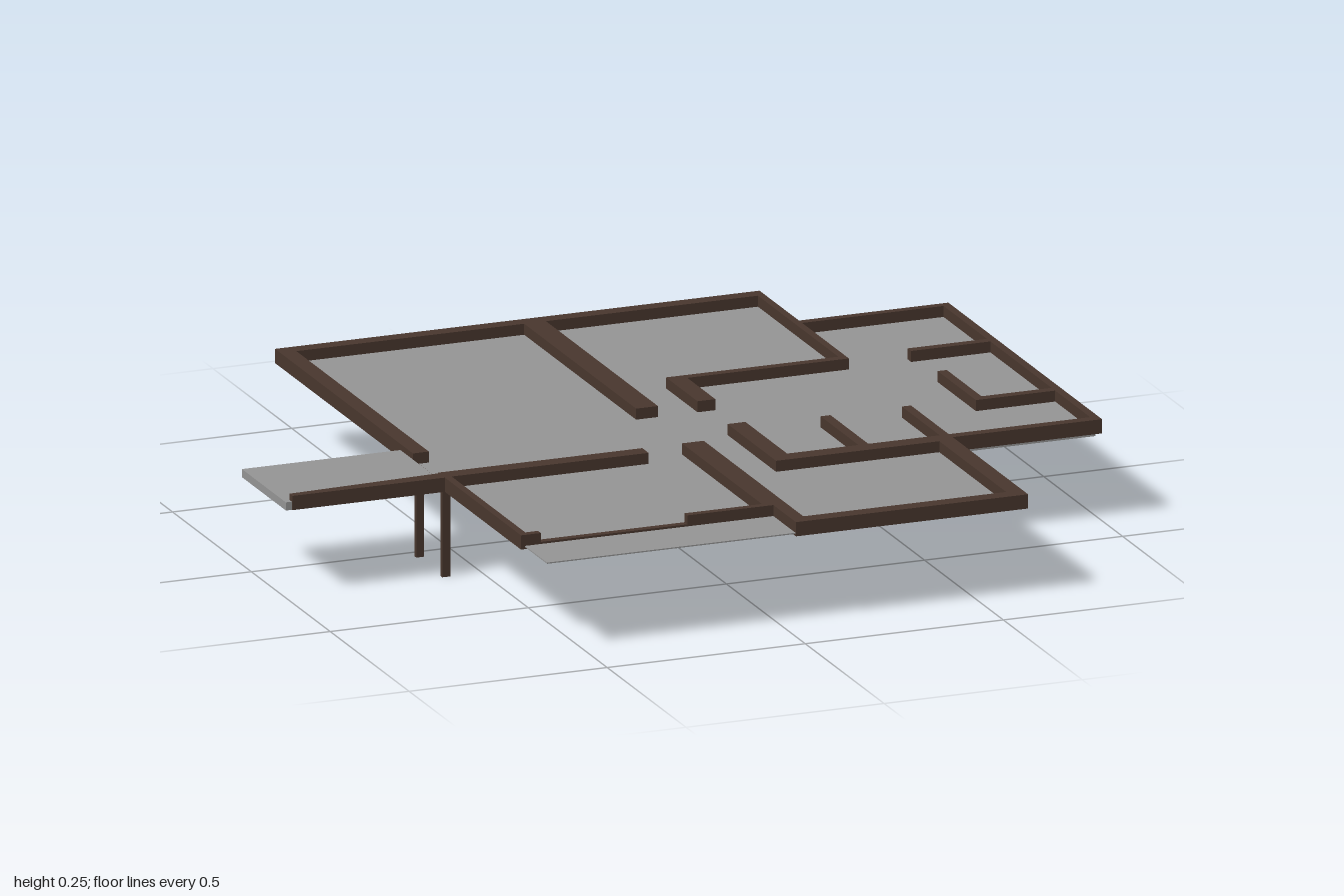
import * as THREE from 'three';

const WALL_Y0 = 0.215, WALL_Y1 = 0.25, FLOOR = 0.223;

export function createModel() {
  const model = new THREE.Group();
  const brown = new THREE.MeshStandardMaterial({ color: 0x49372e });
  brown.name = 'dark brown wall';
  const grey = new THREE.MeshStandardMaterial({ color: 0x969696 });
  grey.name = 'grey floor';

  // Box given by its limits on each axis
  function block(name, mat, x0, x1, z0, z1, y0, y1, parent = model) {
    const mesh = new THREE.Mesh(new THREE.BoxGeometry(x1 - x0, y1 - y0, z1 - z0), mat);
    mesh.position.set((x0 + x1) / 2, (y0 + y1) / 2, (z0 + z1) / 2);
    mesh.name = name;
    parent.add(mesh);
    return mesh;
  }

  // Walls: name, x from/to, z from/to
  const walls = new THREE.Group();
  walls.name = 'walls';
  model.add(walls);
  [
    ['backWall', -0.6, 0.623, -0.855, -0.82],
    ['backLeftWall', -0.6, -0.56, -0.82, 0.02],
    ['backMiddleWall', 0.015, 0.07, -0.82, -0.11],
    ['backRightWall', 0.605, 0.623, -0.82, -0.31],
    ['backRoomFrontWall', 0.215, 0.623, -0.31, -0.288],
    ['backRoomStub', 0.17, 0.215, -0.31, -0.11],
    ['wingBackWall', 0.623, 1, -0.605, -0.585],
    ['wingSideWall', 0.98, 1, -0.585, 0.345],
    ['wingBackPartition', 0.78, 0.98, -0.31, -0.288],
    ['closetSide', 0.78, 0.803, -0.12, 0.1],
    ['closetFront', 0.78, 0.98, 0.1, 0.123],
    ['wingFrontWall', 0.623, 1, 0.345, 0.37],
    ['frontRoomBackWall', 0.215, 0.623, 0.345, 0.388],
    ['frontRoomStub', 0.17, 0.215, 0.08, 0.388],
    ['smallPartitionA', 0.395, 0.42, 0.105, 0.345],
    ['smallPartitionB', 0.6, 0.623, 0.105, 0.345],
    ['hallWall', -0.6, -0.085, 0.18, 0.22],
    ['frontMiddleWall', 0.015, 0.07, 0.18, 0.705],
    ['frontMiddleEnd', 0.037, 0.07, 0.705, 0.812],
    ['frontWall', 0.037, 0.623, 0.812, 0.848],
    ['frontRightWall', 0.582, 0.623, 0.388, 0.812],
    ['frontLeftWall', -0.6, -0.582, 0.22, 0.687],
    ['windowWallLeft', -0.6, -0.55, 0.687, 0.705],
    ['windowWallRight', -0.18, 0.015, 0.687, 0.705],
  ].forEach(([name, ...r]) => block(name, brown, ...r, WALL_Y0, WALL_Y1, walls));
  block('windowSill', brown, -0.55, -0.18, 0.687, 0.705, WALL_Y0, 0.228, walls);
  block('doorThreshold', brown, -0.594, -0.588, 0.02, 0.18, WALL_Y0, 0.225, walls);

  // Floors: name, x from/to, z from/to, underside height
  const floors = new THREE.Group();
  floors.name = 'floors';
  model.add(floors);
  [
    ['mainFloor', -0.59, 0.19, -0.845, 0.7, 0.22],
    ['backRoomFloor', 0.19, 0.612, -0.845, -0.3, 0.22],
    ['frontRoomFloor', 0.19, 0.612, 0.36, 0.84, 0.22],
    ['frontRoomEdge', 0.045, 0.19, 0.7, 0.84, 0.22],
    ['balcony', -0.59, 0.045, 0.7, 0.845, 0.22],
    ['wingFloor', 0.19, 0.988, -0.3, 0.36, 0.207],
    ['wingBackFloor', 0.612, 0.988, -0.595, -0.3, 0.212],
  ].forEach(([name, x0, x1, z0, z1, y]) => block(name, grey, x0, x1, z0, z1, y, FLOOR, floors));
  block('undersidePanel', grey, 0.31, 0.62, -0.23, 0.08, 0.205, 0.207, floors);

  // Porch slab with its tapering side wall
  block('porchSlab', grey, -1, -0.6, -0.06, 0.219, 0.215, 0.235);
  const taper = new THREE.Shape([
    [-0.985, -0.222], [-0.6, -0.222], [-0.6, -0.185], [-0.985, -0.203],
  ].map(([x, y]) => new THREE.Vector2(x, y)));
  const wall = new THREE.Mesh(
    new THREE.ExtrudeGeometry(taper, { depth: WALL_Y1 - WALL_Y0, bevelEnabled: false }), brown);
  wall.rotation.x = -Math.PI / 2;
  wall.position.y = WALL_Y0;
  wall.name = 'porchWall';
  model.add(wall);

  // Porch posts
  for (const z of [0.035, 0.2]) {
    block('porchPost', brown, -0.6, -0.58, z - 0.006, z + 0.006, 0, WALL_Y0);
  }
  return model;
}
